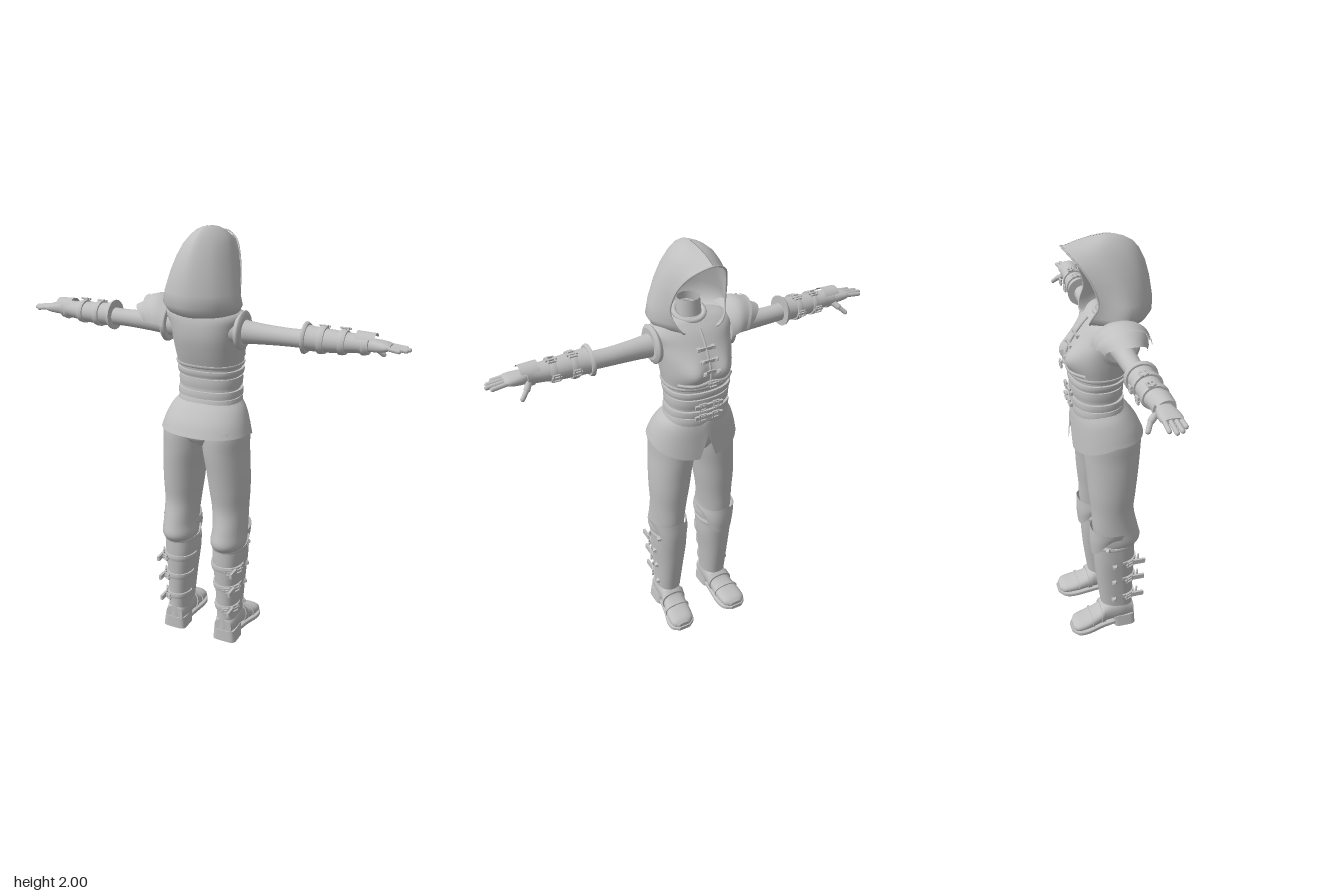
import * as THREE from 'three';

const grey = new THREE.MeshStandardMaterial({ color: 0xc0c0c0, side: THREE.DoubleSide });
grey.name = 'plain grey';
const V = (x, y, z) => new THREE.Vector3(x, y, z);

function part(parent, name, geometry) {
  const m = new THREE.Mesh(geometry, grey);
  m.name = name;
  parent.add(m);
  return m;
}

// Surface through rows of points
function grid(rows, closed) {
  const n = rows[0].length, pos = [], idx = [];
  rows.forEach(r => r.forEach(p => pos.push(p.x, p.y, p.z)));
  for (let i = 0; i < rows.length - 1; i++)
    for (let j = 0; j < (closed ? n : n - 1); j++) {
      const k = (j + 1) % n, a = i * n + j, b = a + n, c = i * n + k, d = c + n;
      idx.push(a, b, c, c, b, d);
    }
  const g = new THREE.BufferGeometry();
  g.setAttribute('position', new THREE.Float32BufferAttribute(pos, 3));
  g.setIndex(idx);
  g.computeVertexNormals();
  return g;
}

// Loft through rows [t, u0, u1, v0, v1]: place on the axis and extents of each cross-section.
// Axis y uses u = x, v = z; axis x uses u = y, v = z; axis z (run backwards) uses u = x, v = y.
function loft(rows, { axis = 'y', n = 32, p = 2, from = 0, to = Math.PI * 2, cap = true, steps = 5, warp } = {}) {
  const A = new THREE.CatmullRomCurve3(rows.map(r => V(r[0], r[1], r[2])), false, 'catmullrom');
  const B = new THREE.CatmullRomCurve3(rows.map(r => V(r[0], r[3], r[4])), false, 'catmullrom');
  const closed = to - from > 6.28, out = [], total = (rows.length - 1) * steps;
  const pow = c => Math.sign(c) * Math.abs(c) ** (2 / p);
  for (let i = 0; i <= total; i++) {
    const f = i / total, a = A.getPoint(f), b = B.getPoint(f), ring = [];
    for (let j = 0; j < (closed ? n : n + 1); j++) {
      const ang = from + (to - from) * j / n, s = axis === 'x' ? -1 : 1;
      const u = (a.y + a.z) / 2 + (a.z - a.y) / 2 * pow(Math.cos(ang));
      const v = (b.y + b.z) / 2 + s * (b.z - b.y) / 2 * pow(Math.sin(ang));
      const q = axis === 'y' ? V(u, a.x, v) : axis === 'x' ? V(a.x, u, v) : V(u, v, a.x);
      if (warp) warp(q, f, ang);
      ring.push(q);
    }
    out.push(ring);
  }
  if (closed && cap) {
    const mid = r => r.map(() => r.reduce((s, q) => s.add(q), V(0, 0, 0)).divideScalar(r.length))
      .map(q => q.clone());
    const first = out[0], last = out[out.length - 1], copy = r => r.map(q => q.clone());
    const centre = r => { const c = mid(copy(r))[0]; return r.map(() => c.clone()); };
    out.unshift(centre(first), copy(first));
    out.push(copy(last), centre(last));
  }
  return grid(out, closed);
}

// Row of a loft at t, grown outward
function rowAt(rows, t, g) {
  const s = [...rows].sort((a, b) => a[0] - b[0]);
  let i = 0;
  while (i < s.length - 2 && s[i + 1][0] < t) i++;
  const k = (t - s[i][0]) / (s[i + 1][0] - s[i][0]);
  const r = s[i].map((v, j) => v + (s[i + 1][j] - v) * k);
  return [t, r[1] - g, r[2] + g, r[3] - g, r[4] + g];
}
const band = (rows, t0, t1, g, o = {}) =>
  loft([rowAt(rows, t0, g), rowAt(rows, (t0 + t1) / 2, g + 0.002), rowAt(rows, t1, g)], { steps: 2, ...o });

// Square stud and buckle facing a direction
function aim(m, at, dir, axis) {
  m.position.copy(at);
  m.quaternion.setFromUnitVectors(axis, dir.clone().normalize());
  return m;
}
function stud(parent, at, dir, r = 0.018) {
  const g = new THREE.CylinderGeometry(r * 0.4, r, 0.014, 4).rotateY(Math.PI / 4).toNonIndexed();
  g.computeVertexNormals();
  aim(part(parent, 'stud', g), at, dir, V(0, 1, 0));
}
function buckle(parent, at, dir, r = 0.022) {
  const g = new THREE.TorusGeometry(r, 0.005, 6, 4).rotateZ(Math.PI / 4).toNonIndexed();
  g.computeVertexNormals();
  aim(part(parent, 'buckle', g), at, dir, V(0, 0, 1));
  aim(part(parent, 'buckleTongue', new THREE.BoxGeometry(r * 2.4, 0.007, 0.008)), at, dir, V(0, 0, 1));
}
function digit(parent, name, a, b, r) {
  const d = b.clone().sub(a);
  aim(part(parent, name, new THREE.CapsuleGeometry(r, d.length() - r, 4, 10)), a.clone().add(b).multiplyScalar(0.5), d, V(0, 1, 0));
}

const sym = rows => rows.map(([y, w, z0, z1]) => [y, -w, w, z0, z1]);
const TORSO = sym([[1.39, .15, -.15, .093], [1.45, .158, -.16, .112], [1.52, .166, -.148, .128], [1.58, .175, -.112, .13],
  [1.625, .188, -.078, .122], [1.655, .16, -.045, .105], [1.675, .06, -.02, .08]]);
const WAIST = sym([[1.19, .146, -.14, .085], [1.26, .138, -.138, .075], [1.33, .138, -.143, .074], [1.4, .146, -.145, .085]]);
const SKIRT = sym([[1.225, .145, -.143, .085], [1.19, .175, -.149, .118], [1.14, .198, -.152, .155], [1.085, .215, -.155, .18]].reverse());
const TROUSERS = [[.49, .055, .2, -.06, .12], [.535, .045, .214, -.07, .148], [.6, .05, .212, -.085, .136], [.7, .04, .212, -.09, .116],
  [.8, .025, .216, -.1, .125], [.9, .012, .214, -.107, .137], [1, -.004, .208, -.116, .148], [1.1, -.01, .204, -.12, .15], [1.16, 0, .17, -.11, .12]];
const BOOT = [[.05, .082, .185, -.03, .118], [.16, .08, .186, -.04, .115], [.3, .068, .192, -.06, .118], [.42, .053, .202, -.07, .122], [.515, .05, .206, -.075, .12]];
const ARM = [[.13, 1.505, 1.625, -.03, .09], [.25, 1.515, 1.608, -.018, .072], [.4, 1.522, 1.6, -.015, .065], [.55, 1.525, 1.605, -.01, .07], [.74, 1.54, 1.598, 0, .058]];
const BRACER = [[.465, 1.505, 1.632, -.04, .092], [.49, 1.515, 1.622, -.03, .084], [.6, 1.52, 1.615, -.025, .08], [.7, 1.532, 1.61, -.016, .072], [.745, 1.53, 1.618, -.018, .074]];

function makeLeg() {
  const g = new THREE.Group();
  part(g, 'trouserLeg', loft(TROUSERS));
  part(g, 'bootShaft', loft(BOOT, { p: 2.3 }));
  part(g, 'bootCuff', band(BOOT, .495, .513, .006));
  // Foot, sole and heel
  part(g, 'foot', loft([[.115, .09, .18, .03, .12], [.05, .08, .192, .03, .15], [-.02, .08, .192, .025, .14], [-.07, .083, .2, .02, .1],
    [-.13, .085, .212, .015, .076], [-.18, .095, .21, .012, .062], [-.203, .125, .185, .015, .045]], { axis: 'z', p: 2.4 }));
  part(g, 'sole', loft([[.02, .085, .19, .012, .036], [-.05, .082, .198, .005, .03], [-.13, .078, .218, 0, .024], [-.18, .09, .215, 0, .024], [-.21, .125, .185, .006, .026]], { axis: 'z', p: 6 }));
  part(g, 'heel', loft([[0, .078, .2, .01, .122], [.06, .082, .192, 0, .12]], { p: 5 }));
  part(g, 'ankleStrap', loft([[-.035, .074, .198, .02, .142], [-.055, .076, .204, .02, .122]], { axis: 'z', p: 2.4, steps: 2 }));
  part(g, 'toeSeam', loft([[-.1, .079, .211, .016, .093], [-.108, .079, .213, .016, .09]], { axis: 'z', p: 2.4, steps: 2 }));
  // Front shin plate and knee guard
  const wrap = { from: Math.PI * .96, to: Math.PI * 2.04, p: 2.3 };
  part(g, 'shinPlate', loft([.14, .3, .42, .5].map(y => rowAt(BOOT, y, .009)), wrap));
  part(g, 'kneeGuard', loft([[.465, .048, .212, -.094, .125], [.54, .042, .218, -.1, .14], [.62, .044, .223, -.098, .15]], {
    ...wrap, warp: (q, f, a) => { q.y += (1 - f) * .1 * Math.abs(Math.cos(a)) ** 3 - f * .02 * Math.abs(Math.cos(a)); } }));
  stud(g, V(.207, .505, -.03), V(1, 0, -.4));
  for (const y of [.405, .3, .185]) {
    part(g, 'bootStrap', band(BOOT, y - .014, y + .014, .007, { p: 2.3 }));
    const x = rowAt(BOOT, y, .014)[2];
    stud(g, V(x, y, .005), V(1, 0, -.1));
    buckle(g, V(x - .012, y, .085), V(1, 0, .5));
    buckle(g, V(x - .045, y, .132), V(.5, 0, 1), .018);
    part(g, 'strapEnd', new THREE.BoxGeometry(.012, .024, .06)).position.set(x - .02, y, .132);
  }
  return g;
}

function makeArm() {
  const g = new THREE.Group();
  part(g, 'arm', loft(ARM, { axis: 'x', n: 24 }));
  part(g, 'armholeTrim', loft([[.168, 1.487, 1.642, -.058, .11], [.184, 1.48, 1.655, -.062, .114], [.194, 1.5, 1.638, -.045, .1]], { axis: 'x', n: 28, steps: 3 }));
  part(g, 'bracer', loft(BRACER, { axis: 'x', n: 24 }));
  part(g, 'bracerCuff', band(BRACER, .465, .48, .005, { axis: 'x' }));
  for (const x of [.545, .635]) {
    part(g, 'bracerStrap', band(BRACER, x - .014, x + .014, .007, { axis: 'x' }));
    buckle(g, V(x, 1.624, .01), V(0, 1, -.3), .02);
    buckle(g, V(x, 1.565, -.042), V(0, 0, -1), .018);
  }
  part(g, 'handGuard', loft([[.69, 1.535, 1.625, -.02, .076], [.77, 1.54, 1.622, -.015, .072]], { axis: 'x', from: -1.1, to: 1.1 }));
  part(g, 'wristStrap', band(ARM, .715, .735, .012, { axis: 'x' }));
  // Hand
  part(g, 'palm', loft([[.71, 1.545, 1.596, .002, .056], [.76, 1.545, 1.597, -.012, .066], [.81, 1.552, 1.592, -.014, .074], [.835, 1.562, 1.585, -.008, .07]], { axis: 'x', n: 20, p: 2.5 }));
  [[.893, -.004], [.91, .019], [.902, .042], [.877, .064]].forEach(([x, z]) =>
    digit(g, 'finger', V(.815, 1.574, z * .9 + .003), V(x, 1.566, z), .0095));
  digit(g, 'thumbBase', V(.735, 1.562, .004), V(.762, 1.538, -.032), .014);
  digit(g, 'thumb', V(.76, 1.54, -.03), V(.79, 1.512, -.05), .0105);
  return g;
}

export function createModel() {
  const model = new THREE.Group();
  model.name = 'hoodedFigure';

  // Torso with a shaped chest
  const torso = part(model, 'vest', loft(TORSO, { n: 56, p: 2.3, warp: q => {
    if (q.z < 0) q.z -= .034 * Math.exp(-(((Math.abs(q.x) - .07) / .05) ** 2) - ((q.y - 1.475) / .05) ** 2);
  } }));
  part(model, 'vestHem', band(TORSO, 1.388, 1.402, .005, { p: 2.3 }));
  part(model, 'neck', new THREE.CylinderGeometry(.05, .06, .11, 24, 1, true)).position.set(0, 1.69, .035);
  const collar = part(model, 'collar', new THREE.TorusGeometry(.066, .012, 10, 32));
  collar.rotation.x = Math.PI / 2 - .3;
  collar.position.set(0, 1.68, .03);

  // Waist wraps
  part(model, 'waist', loft(WAIST, { p: 2.3 }));
  for (const [a, b, g] of [[1.345, 1.372, .011], [1.29, 1.335, .008], [1.245, 1.275, .011], [1.2, 1.238, .006]])
    part(model, 'waistBand', band(WAIST, a, b, g, { p: 2.3 }));
  for (const y of [1.31, 1.255]) for (const x of [-.03, .035]) {
    buckle(model, V(x, y, -.163), V(0, 0, -1), .02);
    part(model, 'buckleStrap', new THREE.BoxGeometry(.07, .016, .012)).position.set(x, y, -.16);
  }

  // Flared skirt with a front slit
  part(model, 'skirt', loft(SKIRT, { n: 80, cap: false, p: 2.2, warp: (q, f, a) => {
    const front = Math.max(0, -Math.sin(a)), low = 1 - f;
    q.y -= low * .065 * front;
    if (q.z < 0) q.y += low * .12 * Math.max(0, 1 - Math.abs(q.x) / .04);
  } }));
  part(model, 'hips', loft(sym([[1.03, .08, -.1, .12], [1.09, .19, -.12, .145], [1.2, .145, -.135, .09]])));

  // Chest straps and studs resting on the vest
  const ray = new THREE.Raycaster();
  torso.updateMatrixWorld();
  const chest = (x, y) => {
    ray.set(V(x, y, -1), V(0, 0, 1));
    const h = ray.intersectObject(torso)[0];
    return V(x, y, h ? h.point.z - .005 : -.15);
  };
  for (const y of [1.48, 1.525, 1.57]) {
    const p = chest(0, y), s = part(model, 'chestStrap', new THREE.BoxGeometry(.085, .014, .01));
    s.position.copy(p);
    for (const x of [-.034, .034]) stud(model, chest(x, y), V(0, .3, -1), .015);
  }
  part(model, 'chestSeam', new THREE.TubeGeometry(new THREE.CatmullRomCurve3(
    [1.41, 1.45, 1.5, 1.55, 1.6, 1.64].map(y => chest(0, y))), 24, .006, 6));
  buckle(model, chest(0, 1.435).add(V(0, 0, -.025)), V(0, 0, -1), .02);
  part(model, 'underbustStrap', new THREE.TubeGeometry(new THREE.CatmullRomCurve3(
    [-.13, -.08, -.03, 0, .03, .08, .13].map(x => chest(x, 1.43 - Math.abs(x) * .1))), 32, .008, 6));

  // Hood: [y, half width, back z, front z, half width of the opening]
  const HOOD = [[1.635, .14, .175, -.075, .075], [1.645, .165, .192, -.082, .09], [1.68, .184, .213, -.075, .115], [1.735, .168, .213, -.052, .13],
    [1.815, .145, .2, -.072, .122], [1.88, .122, .182, -.108, .1], [1.93, .099, .156, -.148, .065], [1.96, .076, .13, -.176, .002],
    [1.982, .05, .092, -.11, .001], [1.994, .024, .055, -.05, .001], [1.998, .002, .02, 0, .001]];
  part(model, 'hood', grid(HOOD.map(([y, w, zb, zf, xf]) => {
    const zm = zf + (zb - zf) * .45, zk = zf + (zb - zf) * .83;
    return new THREE.CatmullRomCurve3([V(xf, y, zf), V(w, y, zm), V(w * .68, y, zk), V(0, y, zb),
      V(-w * .68, y, zk), V(-w, y, zm), V(-xf, y, zf)]).getPoints(48);
  }), false));
  const rim = HOOD.slice(0, 8).map(([y, , , zf, xf]) => V(xf, y, zf));
  const rimPath = [...rim, ...rim.slice(0, 7).reverse().map(q => V(-q.x, q.y, q.z))];
  part(model, 'hoodRim', new THREE.TubeGeometry(new THREE.CatmullRomCurve3(rimPath), 64, .004, 6));

  // Limbs, mirrored
  for (const [s, side] of [[1, 'left'], [-1, 'right']]) {
    const leg = makeLeg(), arm = makeArm();
    leg.name = side + 'Leg';
    arm.name = side + 'Arm';
    leg.scale.x = arm.scale.x = s;
    model.add(leg, arm);
  }

  // Layered plates on the right shoulder
  const pauldron = new THREE.Group();
  pauldron.name = 'shoulderArmour';
  pauldron.scale.x = -1;
  const point = k => (q, f, a) => { q.x += f * k * Math.max(0, Math.cos(a)) ** 1.5; };
  const over = { axis: 'x', from: -1.5, to: 1.5, n: 28 };
  part(pauldron, 'lowerPlate', loft([[.2, 1.47, 1.675, -.085, .145], [.23, 1.49, 1.665, -.075, .135], [.255, 1.5, 1.635, -.062, .12]], { ...over, warp: point(.085) }));
  part(pauldron, 'upperPlate', loft([[.15, 1.46, 1.675, -.095, .155], [.19, 1.46, 1.695, -.095, .155], [.225, 1.48, 1.68, -.085, .145]], { ...over, warp: point(.055) }));
  part(pauldron, 'plateRim', loft([[.218, 1.478, 1.685, -.09, .15], [.232, 1.478, 1.682, -.09, .15]], { ...over, warp: (q, f, a) => point(.055)(q, 1, a) }));
  model.add(pauldron);
  return model;
}
